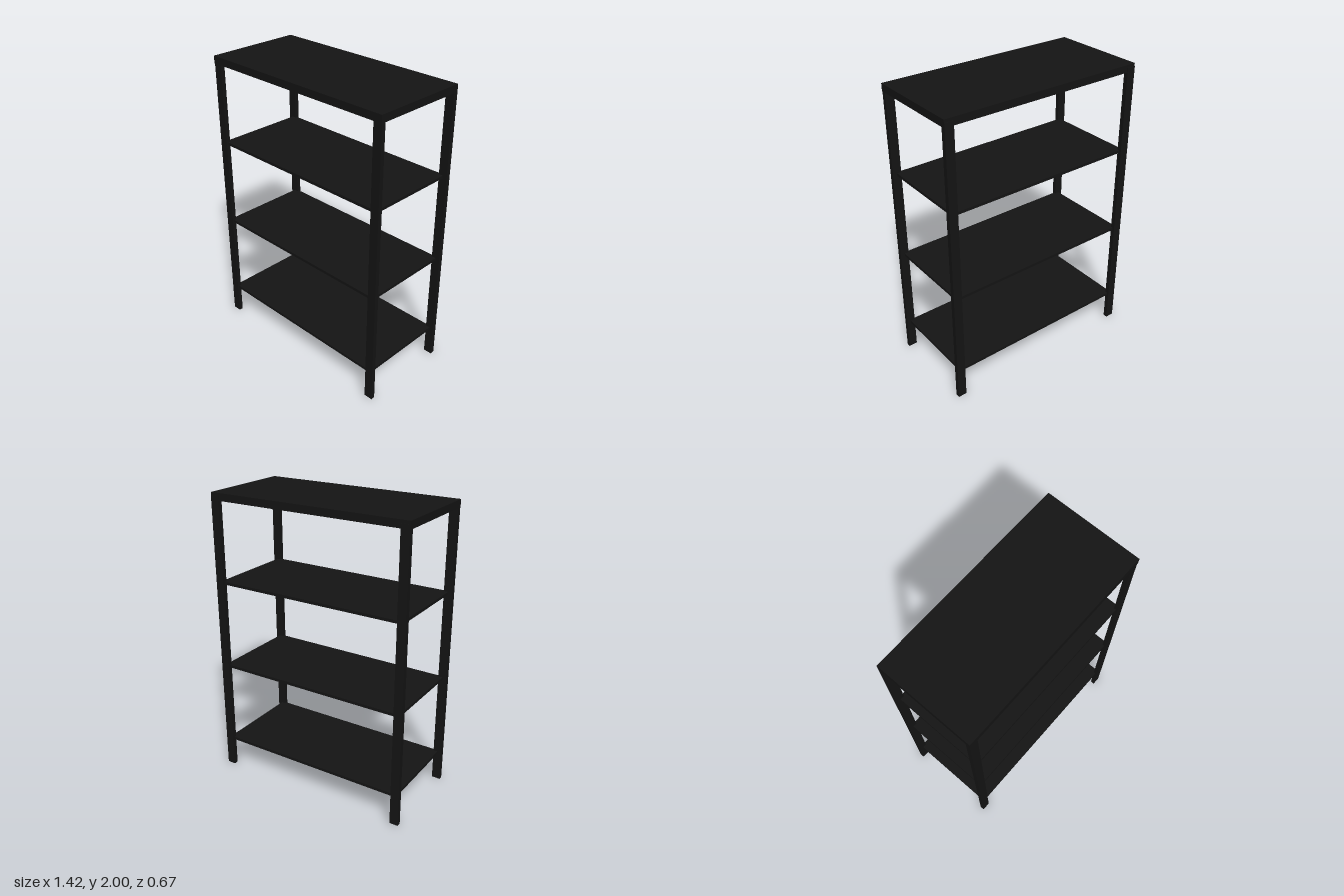
import * as THREE from 'three';

export function createModel() {
  const group = new THREE.Group();
  const black = new THREE.MeshStandardMaterial({ color: 0x141414 });

  // Box given by its lower and upper corners
  const addBox = (name, [x0, y0, z0], [x1, y1, z1]) => {
    const mesh = new THREE.Mesh(new THREE.BoxGeometry(x1 - x0, y1 - y0, z1 - z0), black);
    mesh.position.set((x0 + x1) / 2, (y0 + y1) / 2, (z0 + z1) / 2);
    mesh.name = name;
    group.add(mesh);
  };

  // Four flat posts, wider across the front than along the side
  for (const [side, x] of [['Left', 0.65], ['Right', -0.71]]) {
    addBox(`front${side}Leg`, [x, 0, 0.302], [x + 0.06, 1.98, 0.33]);
    addBox(`back${side}Leg`, [x, 0, -0.334], [x + 0.06, 1.98, -0.304]);
  }

  // Thick top board, set a hair forward of the posts
  addBox('topBoard', [-0.71, 1.95, -0.331], [0.711, 2, 0.334]);

  // Thin shelves, let into the middle of the posts
  [0.2, 0.78, 1.388].forEach((y, i) =>
    addBox(`shelf${i + 1}`, [-0.68, y, -0.319], [0.68, y + 0.019, 0.317]));

  return group;
}
